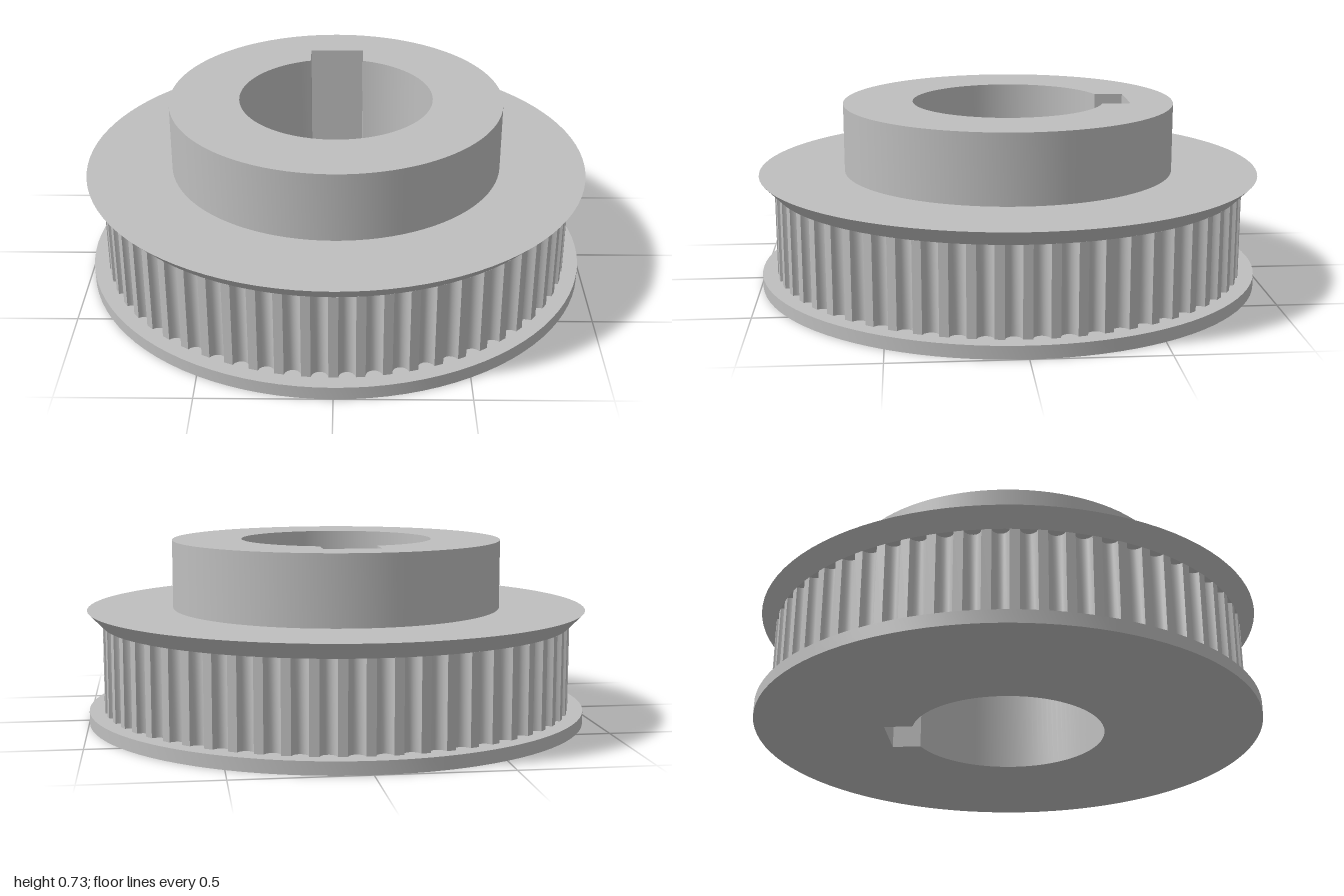
import * as THREE from 'three';
import { toCreasedNormals } from 'three/addons/utils/BufferGeometryUtils.js';

const TEETH = 60;
const HUB_RADIUS = 0.66;

// Extrudes a plan shape upwards from y0 to y1 (shape y becomes -z)
function extrudeUp(shape, y0, y1, curveSegments = 48) {
  const geometry = new THREE.ExtrudeGeometry(shape, { depth: y1 - y0, bevelEnabled: false, curveSegments });
  geometry.rotateX(-Math.PI / 2);
  geometry.translate(0, y0, 0);
  return toCreasedNormals(geometry, 0.55);
}

// Ring around the hub from an outer profile listed bottom to top
function flangeRing(profile) {
  const [bottom, top] = [profile[0], profile[profile.length - 1]];
  const points = [[HUB_RADIUS - 0.02, bottom[1]], ...profile, [HUB_RADIUS - 0.02, top[1]]];
  const geometry = new THREE.LatheGeometry(points.map(([r, y]) => new THREE.Vector2(r, y)), 96);
  return toCreasedNormals(geometry, 0.55);
}

// Round bore with a rectangular keyway at the back
function boreWithKeyway() {
  const radius = 0.383, half = 0.11, depth = 0.48;
  const a = Math.acos(half / radius);
  const path = new THREE.Path();
  path.moveTo(half, depth);
  path.lineTo(half, radius * Math.sin(a));
  path.absarc(0, 0, radius, a, Math.PI - a, true);
  path.lineTo(-half, depth);
  path.closePath();
  return path;
}

// Belt outline: narrow lands between rounded grooves
function toothOutline() {
  const radius = 0.94, depth = 0.034, pitch = (Math.PI * 2) / TEETH, width = pitch * 0.64, steps = 8;
  const points = [];
  for (let i = 0; i < TEETH; i++) {
    const start = i * pitch + (pitch - width) / 2;
    for (let k = 0; k <= steps; k++) {
      const t = (Math.PI * k) / steps;
      const angle = start + (width * (1 - Math.cos(t))) / 2;
      const r = radius - depth * Math.sin(t);
      points.push(new THREE.Vector2(r * Math.cos(angle), r * Math.sin(angle)));
    }
  }
  const shape = new THREE.Shape(points);
  shape.holes.push(new THREE.Path().absarc(0, 0, HUB_RADIUS - 0.02, 0, Math.PI * 2, true));
  return shape;
}

export function createModel() {
  const group = new THREE.Group();
  group.name = 'timingPulley';
  const steel = new THREE.MeshStandardMaterial({ color: 0xbfbfbf });
  steel.name = 'steel grey';

  const add = (name, geometry) => {
    const mesh = new THREE.Mesh(geometry, steel);
    mesh.name = name;
    group.add(mesh);
  };

  // Central hub running the full height
  const hub = new THREE.Shape().absarc(0, 0, HUB_RADIUS, 0, Math.PI * 2, false);
  hub.holes.push(boreWithKeyway());
  add('hub', extrudeUp(hub, 0, 0.725));

  // Toothed belt track between the flanges
  add('toothedRim', extrudeUp(toothOutline(), 0.05, 0.392, 48));

  // Flat lower flange and bevelled upper flange
  add('lowerFlange', flangeRing([[1, 0], [1, 0.05]]));
  add('upperFlange', flangeRing([[0.94, 0.392], [1, 0.453]]));

  return group;
}
